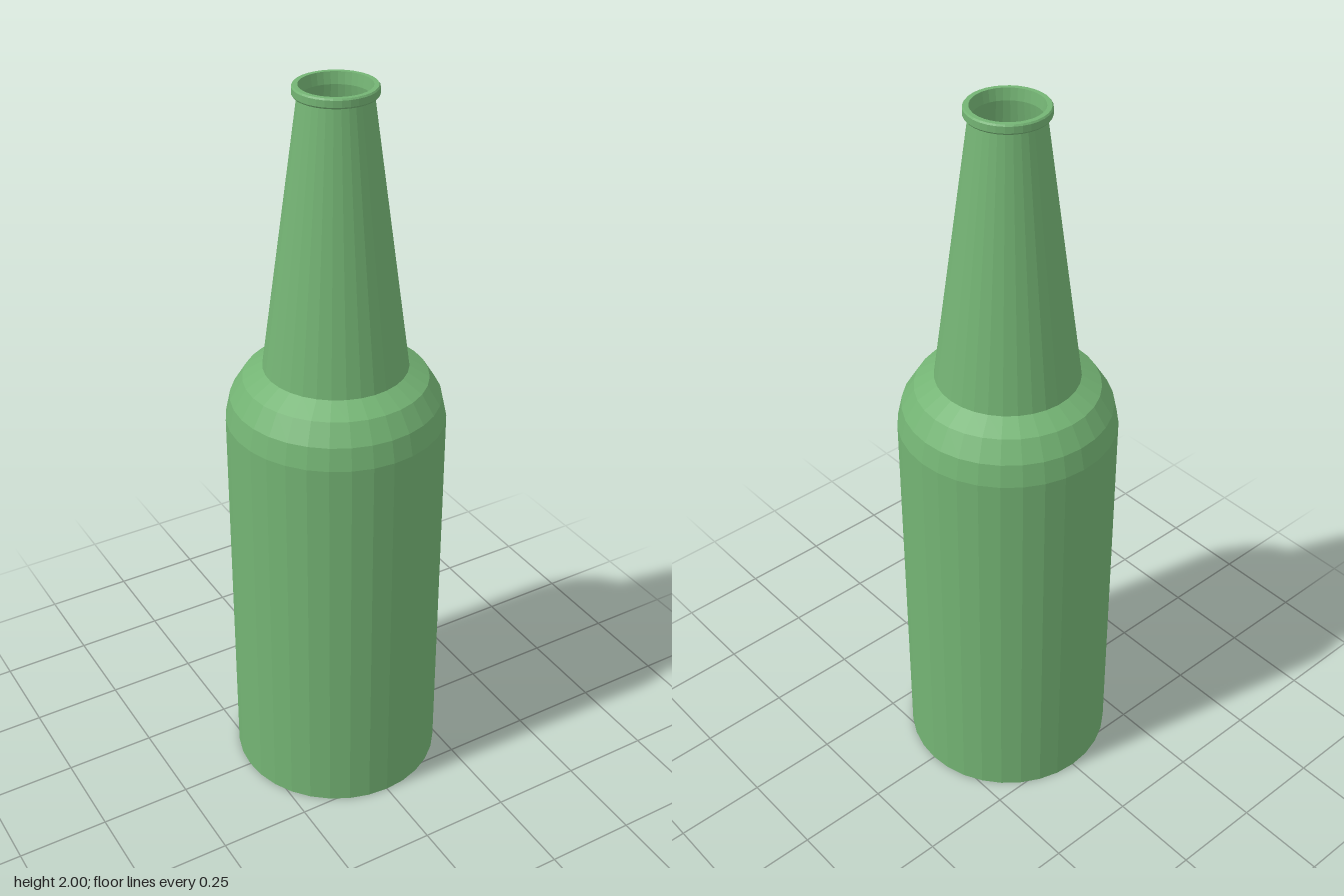
import * as THREE from 'three';

const SIDES = 32;

export function createModel() {
  const bottle = new THREE.Group();
  bottle.name = 'bottle';
  const glass = new THREE.MeshStandardMaterial({ color: 0x74b474, flatShading: true, side: THREE.DoubleSide });

  // Turns a [radius, height] profile around the y axis
  const turn = (name, profile) => {
    const points = profile.map(([r, y]) => new THREE.Vector2(r, y));
    const mesh = new THREE.Mesh(new THREE.LatheGeometry(points, SIDES), glass);
    mesh.name = name;
    bottle.add(mesh);
  };

  // Flat base, straight wall and rounded shoulder
  turn('body', [[0, 0], [0.29, 0], [0.29, 1.11], [0.277, 1.17], [0.243, 1.225], [0.19, 1.257]]);

  // Tapering neck
  turn('neck', [[0.19, 1.257], [0.092, 1.975]]);

  // Lip ring with a small bevel, narrowing into the mouth
  turn('lip', [[0.092, 1.975], [0.102, 1.975], [0.105, 1.979], [0.105, 1.996], [0.102, 2],
    [0.09, 2], [0.085, 1.97]]);

  // Hollow inside, down to the floor
  turn('interior', [[0.085, 1.97], [0.18, 1.25], [0.235, 1.215], [0.267, 1.165], [0.28, 1.11],
    [0.28, 0.015], [0, 0.015]]);

  return bottle;
}
